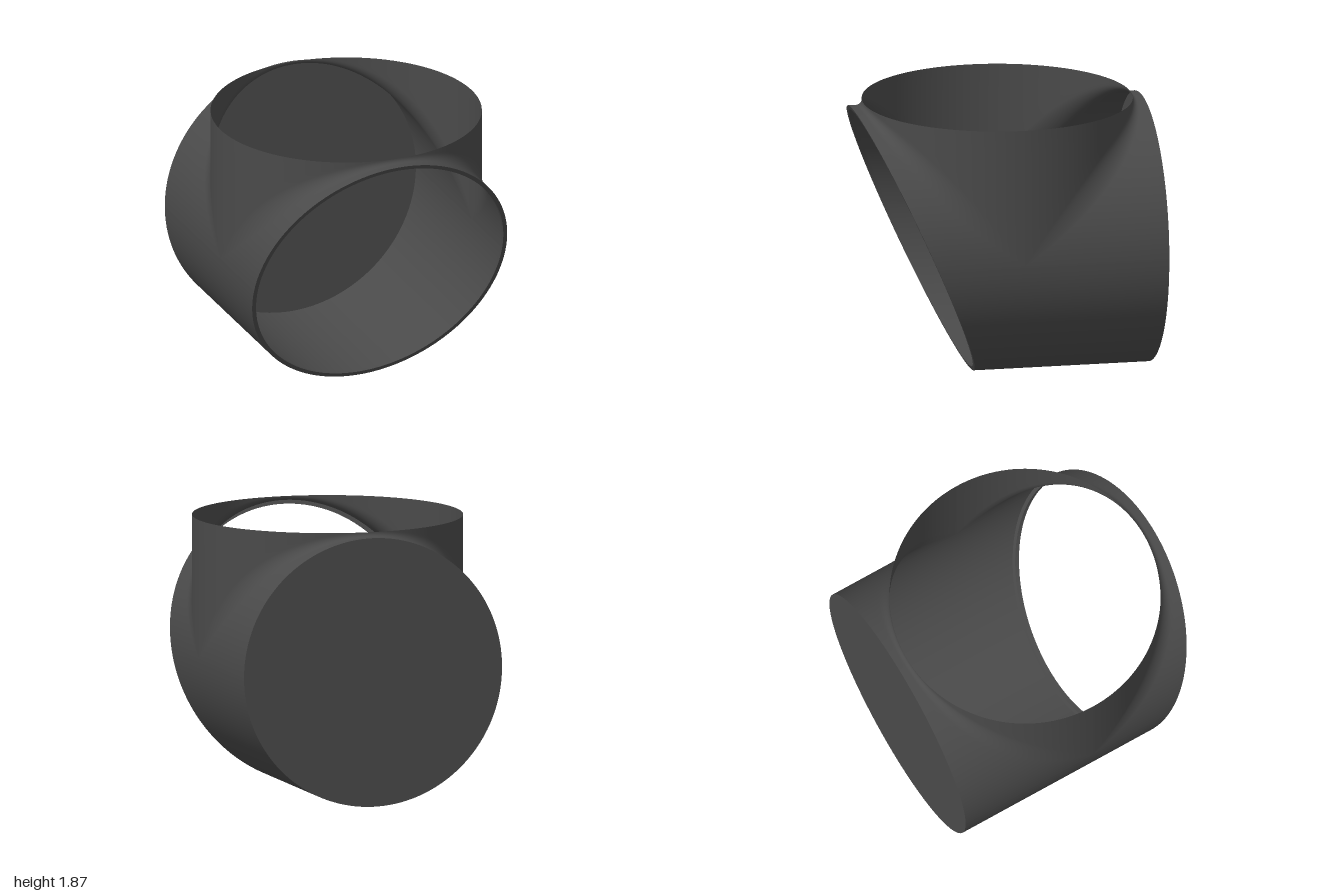
import * as THREE from 'three';

const R = 0.92, C = 0.93, TOP = 1.88, BACK = -1, SEG = 72;

// Height to z on the slanted front cut
const cutZ = (y) => 0.2 + 0.8 * (y - (C - R)) / (2 * R);

// Skin a surface over the cross-sections that section(angle) returns
function loft(section, a0, a1, seg) {
  const pos = [], idx = [];
  let n = 0;
  for (let i = 0; i <= seg; i++) {
    const row = section(a0 + (a1 - a0) * i / seg);
    n = row.length;
    row.forEach((p) => pos.push(...p));
  }
  for (let i = 0; i < seg; i++) {
    for (let j = 0; j < n - 1; j++) {
      const a = i * n + j, b = a + n;
      idx.push(a, a + 1, b, b, a + 1, b + 1);
    }
  }
  const g = new THREE.BufferGeometry();
  g.setAttribute('position', new THREE.Float32BufferAttribute(pos, 3));
  g.setIndex(idx);
  g.computeVertexNormals();
  return g;
}

// Upper half: runs along the main pipe, through a fillet, then up the branch
function branchSection(a, side) {
  const x = R * Math.cos(a), s = Math.max(0, Math.sin(a));
  const y = C + R * s, z = R * s;
  const f = 0.03 * s + 0.4 * s * (1 - s);
  const end = side > 0 ? cutZ(y) : -BACK;
  const row = [];
  for (let i = 0; i < 4; i++) row.push([x, y, side * (end + (z + f - end) * i / 4)]);
  for (let i = 0; i <= 8; i++) {
    const t = i / 8 * Math.PI / 2;
    row.push([x, y + f * (1 - Math.cos(t)), side * (z + f * (1 - Math.sin(t)))]);
  }
  for (let i = 1; i <= 4; i++) row.push([x, y + f + (TOP - y - f) * i / 4, side * z]);
  return row;
}

// Lower half: straight lines from the slanted cut to the back
function lowerSection(a) {
  const x = R * Math.cos(a), y = C + R * Math.sin(a);
  return [0, 0.25, 0.5, 0.75, 1].map((t) => [x, y, cutZ(y) + (BACK - cutZ(y)) * t]);
}

export function createModel() {
  const model = new THREE.Group();
  const material = new THREE.MeshStandardMaterial({ color: 0x4a4a4a, side: THREE.DoubleSide });
  const add = (name, geometry) => {
    const mesh = new THREE.Mesh(geometry, material);
    mesh.name = name;
    model.add(mesh);
    return mesh;
  };

  // Pipe walls, with outward winding on each half
  add('frontBranchWall', loft((a) => branchSection(a, 1), Math.PI, 0, SEG));
  add('backBranchWall', loft((a) => branchSection(a, -1), 0, Math.PI, SEG));
  add('lowerWall', loft(lowerSection, 2 * Math.PI, Math.PI, SEG));

  // Turned-in lip around the slanted opening: [radius, setback] strips keep sharp edges
  const lip = [[R, 0.006], [0.912, 0], [0.892, 0], [0.892, -0.03], [R, -0.03]];
  lip[0][1] = 0;
  for (let k = 0; k < lip.length - 1; k++) {
    add('openingLip' + (k + 1), loft((a) => [lip[k], lip[k + 1]].map(([r, d]) => {
      const y = C + r * Math.sin(a);
      return [r * Math.cos(a), y, cutZ(y) + d];
    }), 0, 2 * Math.PI, SEG * 2));
  }

  // Closed back end
  const cap = add('backCap', new THREE.CircleGeometry(R, SEG * 2));
  cap.rotation.y = Math.PI;
  cap.position.set(0, C, BACK);

  return model;
}
